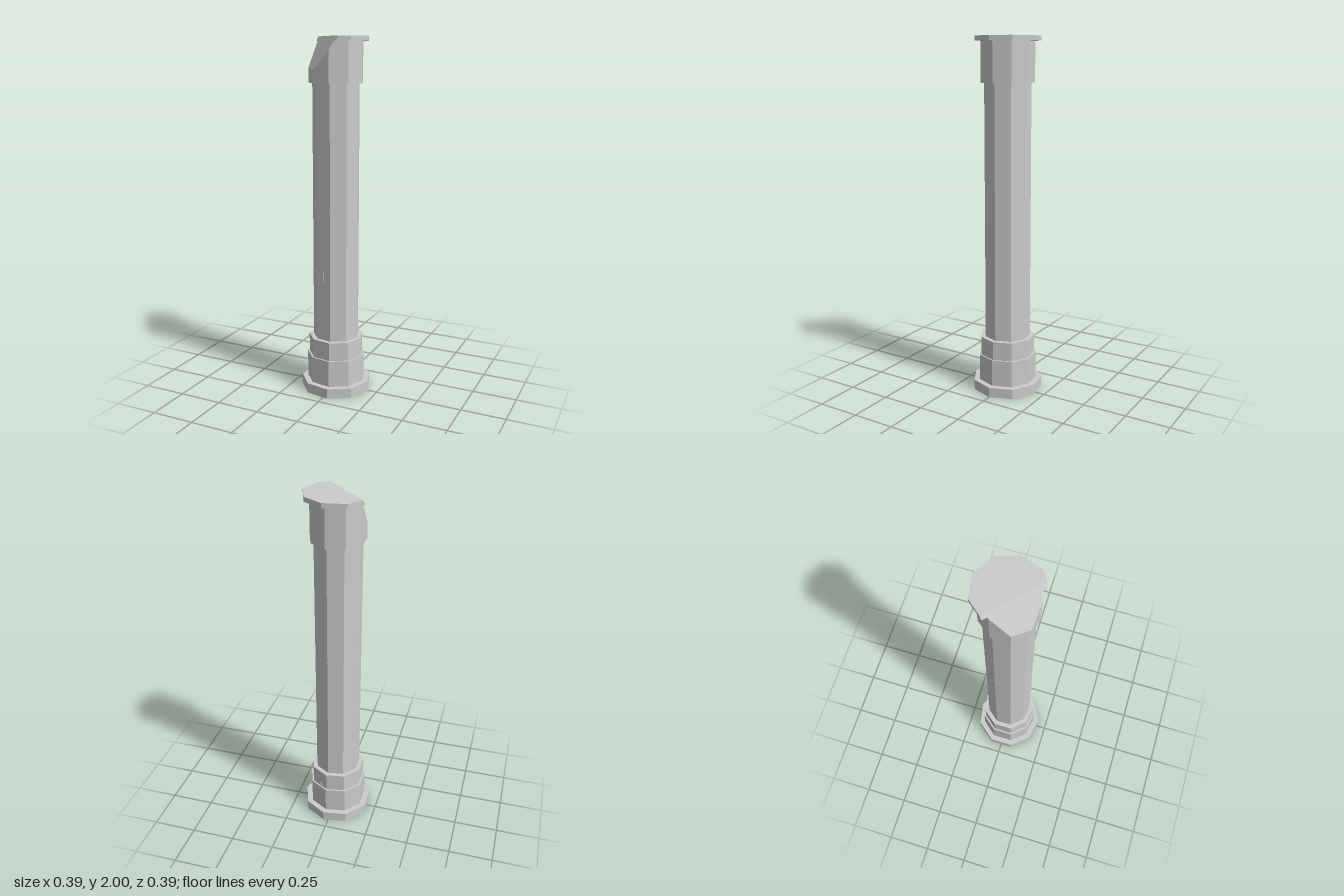
import * as THREE from 'three';
import { ConvexGeometry } from 'three/addons/geometries/ConvexGeometry.js';

const SIDES = 9;
const STEP = 360 / SIDES;
const CENTRE_X = -0.007;
const material = new THREE.MeshStandardMaterial({ color: 0xcccccc, flatShading: true });

function addMesh(parent, name, geometry) {
  const mesh = new THREE.Mesh(geometry, material);
  mesh.name = name;
  parent.add(mesh);
  return mesh;
}

// Nine-sided drum with a corner pointing along +x
function drum(radius, y0, y1) {
  const g = new THREE.CylinderGeometry(radius, radius, y1 - y0, SIDES, 1, false, Math.PI / 2);
  return g.translate(0, (y0 + y1) / 2, 0);
}

// The same drum with everything in front of a plane broken away
function brokenDrum(radius, y0, y1, plane) {
  const ring = (y) => Array.from({ length: SIDES }, (_, i) => {
    const a = THREE.MathUtils.degToRad(i * STEP);
    return new THREE.Vector3(radius * Math.cos(a), y, radius * Math.sin(a));
  });
  const low = ring(y0), high = ring(y1);
  const points = [...low, ...high].filter((p) => plane.distanceToPoint(p) <= 0);
  const cut = (a, b) => {
    const da = plane.distanceToPoint(a), db = plane.distanceToPoint(b);
    if (da * db < 0) points.push(a.clone().lerp(b, da / (da - db)));
  };
  for (let i = 0; i < SIDES; i++) {
    const j = (i + 1) % SIDES;
    cut(low[i], low[j]);
    cut(high[i], high[j]);
    cut(low[i], high[i]);
  }
  return new ConvexGeometry(points);
}

// Hairline crack along a path of [degrees, height] on a drum's faces
function addCrack(parent, name, radius, path) {
  const crack = new THREE.Group();
  crack.name = name;
  const apothem = radius * Math.cos(THREE.MathUtils.degToRad(STEP / 2));
  for (let i = 0; i + 1 < path.length; i++) {
    const [a0, y0] = path[i], [a1, y1] = path[i + 1];
    // split the segment at the drum's corners
    const stops = [0, 1];
    for (let c = -360; c <= 360; c += STEP) {
      const t = (c - a0) / (a1 - a0);
      if (t > 0 && t < 1) stops.push(t);
    }
    stops.sort((p, q) => p - q);
    for (let k = 0; k + 1 < stops.length; k++) {
      const mid = a0 + (a1 - a0) * (stops[k] + stops[k + 1]) / 2;
      const face = (Math.floor(mid / STEP) + 0.5) * STEP;
      const f = THREE.MathUtils.degToRad(face);
      const normal = new THREE.Vector3(Math.cos(f), 0, Math.sin(f));
      const at = (t) => {
        const a = THREE.MathUtils.degToRad(a0 + (a1 - a0) * t);
        const r = apothem / Math.cos(a - f);
        return new THREE.Vector3(r * Math.cos(a), y0 + (y1 - y0) * t, r * Math.sin(a));
      };
      const p = at(stops[k]), q = at(stops[k + 1]);
      const along = q.clone().sub(p).normalize();
      const across = normal.clone().cross(along);
      const g = new THREE.BoxGeometry(p.distanceTo(q), 0.003, 0.001);
      g.applyMatrix4(new THREE.Matrix4().makeBasis(along, across, normal));
      const m = p.add(q).multiplyScalar(0.5);
      addMesh(crack, name + 'Segment', g.translate(m.x, m.y, m.z));
    }
  }
  parent.add(crack);
}

export function createModel() {
  const column = new THREE.Group();
  column.name = 'brokenColumn';
  const body = new THREE.Group();
  body.name = 'columnBody';
  body.position.x = CENTRE_X;
  column.add(body);

  // Stepped base and shaft
  addMesh(body, 'basePlinth', drum(0.2, 0, 0.057));
  addMesh(body, 'baseLowerTier', drum(0.167, 0.057, 0.21));
  addMesh(body, 'baseUpperTier', drum(0.157, 0.21, 0.317));
  addMesh(body, 'shaft', drum(0.131, 0.317, 1.755));

  // Capital and top plate, sheared off at the front right corner
  const normal = new THREE.Vector3(-1, 0.555 * Math.SQRT2, 1).normalize();
  const shear = new THREE.Plane().setFromNormalAndCoplanarPoint(
    normal, new THREE.Vector3(-0.032, 2, 0.032));
  addMesh(body, 'capital', brokenDrum(0.15, 1.755, 1.975, shear));
  addMesh(body, 'topPlate', brokenDrum(0.182, 1.975, 2, shear));

  // Cracks in the stone
  addCrack(body, 'shaftRingCrack', 0.131, [[-170, 1.09], [-60, 1.085], [60, 1.085], [190, 1.105]]);
  addCrack(body, 'shaftLowerCrack', 0.131, [[100, 0.705], [160, 0.715], [200, 0.72]]);
  addCrack(body, 'shaftUprightCrack', 0.131, [[100, 0.32], [100.1, 1.09]]);
  addCrack(body, 'baseSideCrack', 0.167, [[44, 0.06], [18, 0.17], [0, 0.205]]);
  addCrack(body, 'baseBackCrack', 0.157, [[0, 0.213], [-40, 0.245], [-80, 0.213]]);
  addCrack(body, 'baseFrontCrack', 0.167, [[98, 0.12], [135, 0.16], [160, 0.2]]);
  addCrack(body, 'baseUpperCrack', 0.157, [[98, 0.28], [137, 0.225]]);
  return column;
}
